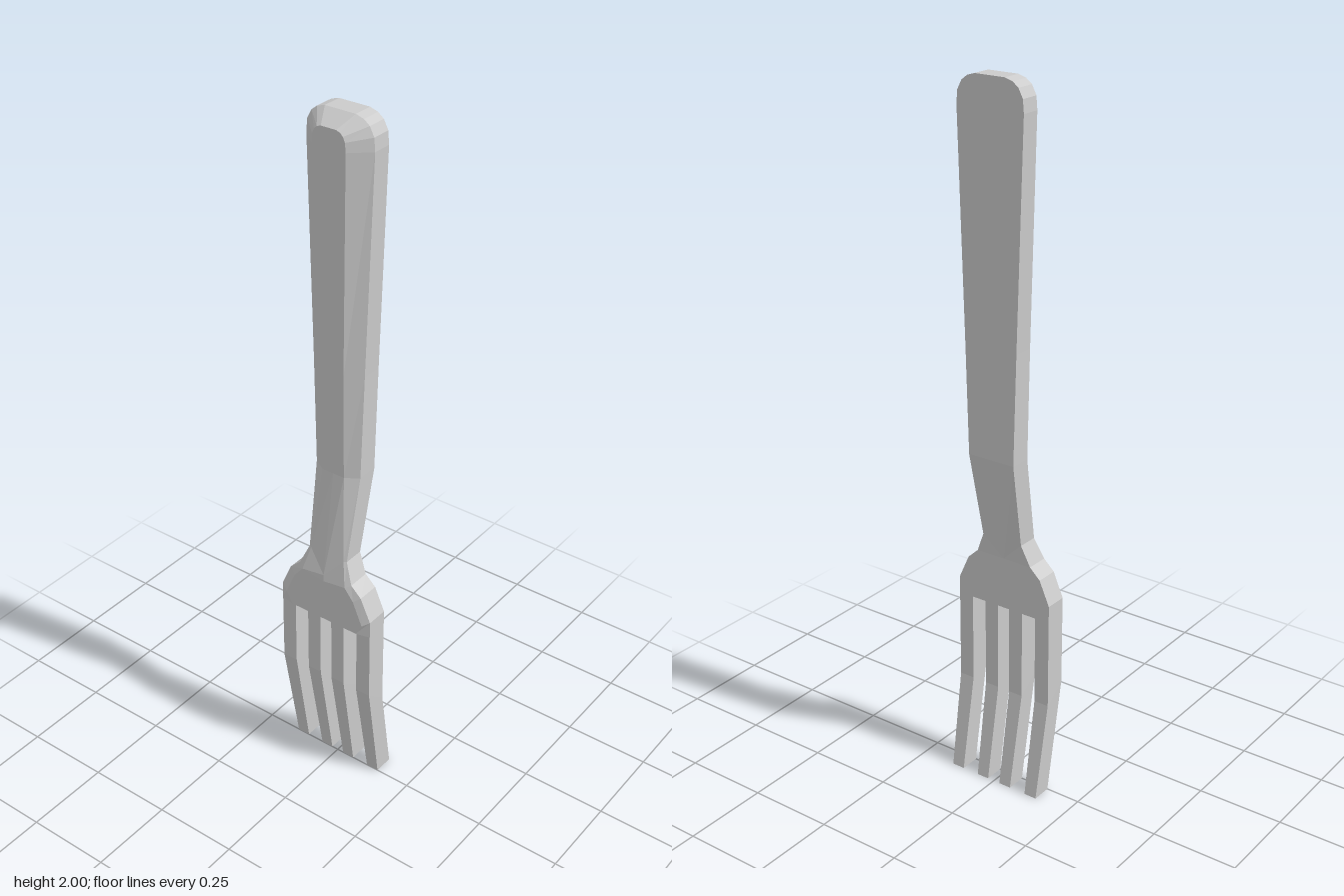
import * as THREE from 'three';

const material = new THREE.MeshStandardMaterial({ color: 0xcccccc, flatShading: true });

// Skins a stack of rings (listed bottom to top) and closes both ends
function loft(name, rings) {
  const pos = [];
  const tri = (...p) => { if (new Set(p).size === 3) p.forEach(v => pos.push(...v)); };
  const quad = (a, b, c, d) => { tri(a, b, c); tri(a, c, d); };
  const n = rings[0].length;
  for (let i = 0; i < rings.length - 1; i++) {
    const lo = rings[i], hi = rings[i + 1];
    for (let j = 0; j < n; j++) {
      const k = (j + 1) % n;
      quad(lo[j], lo[k], hi[k], hi[j]);
    }
  }
  const top = rings[rings.length - 1], low = rings[0];
  for (let j = 0; j < n / 2; j++) {
    const ids = [j, j + 1, n - 1 - j, (n - j) % n];
    quad(...ids.map(k => top[k]));
    quad(...ids.map(k => low[k]).reverse());
  }
  const g = new THREE.BufferGeometry();
  g.setAttribute('position', new THREE.Float32BufferAttribute(pos, 3));
  g.computeVertexNormals();
  const mesh = new THREE.Mesh(g, material);
  mesh.name = name;
  return mesh;
}

// Mirrored bevelled section: outer width w, rim height y and depth zr, back depth zb,
// front face half width f at height yf and depth zf; centre line at yc, front depth zc, back depth zbc
function section({ w, y, zr, zb, f, yf = y, zf, yc = yf, ybc = y, zc = zf, zbc = zb }) {
  return [
    [0, yc, zc], [f, yf, zf], [w, y, zr], [w, y, zb],
    [0, ybc, zbc], [-w, y, zb], [-w, y, zr], [-f, yf, zf],
  ];
}

export function createModel() {
  const fork = new THREE.Group();
  fork.name = 'fork';

  // V-shaped seam shared by neck and head
  const seam = section({ w: 0.063, y: 0.75, zr: 0.043, zb: -0.017, f: 0.055, zf: 0.047, yc: 0.69, ybc: 0.69, zc: 0.064, zbc: -0.01 });

  // Handle with bevelled front and rounded end
  const handle = [
    [0.072, 1.0, 0.035, 1.0, 0.02, -0.003],
    [0.081, 1.31, 0.037, 1.31, 0.025, -0.006],
    [0.101, 1.92, 0.05, 1.92, 0.036, -0.01],
    [0.098, 1.955, 0.048, 1.945, 0.036, -0.01],
    [0.085, 1.98, 0.042, 1.958, 0.036, -0.01],
    [0.068, 1.993, 0.034, 1.966, 0.036, -0.01],
    [0.045, 2.0, 0.022, 1.97, 0.036, -0.01],
  ].map(([w, y, f, yf, zf, zr]) => section({ w, y, f, yf, zf, zr, zb: -0.065 }));
  fork.add(loft('handle', [seam, ...handle]));

  // Flared head
  const head = [
    [0.151, 0.54, 0.11, 0.54, 0.055],
    [0.151, 0.59, 0.13, 0.575, 0.055],
    [0.12, 0.66, 0.1, 0.645, 0.056],
    [0.088, 0.69, 0.072, 0.68, 0.056],
  ].map(([w, y, f, yf, zr]) => section({ w, y, f, yf, zr, zf: 0.065, zb: -0.01, yc: Math.min(yf, 0.67) }));
  fork.add(loft('head', [...head, seam]));

  // Four bent tines, each tapering slightly towards the tip
  const tineRing = (x0, x1, yf, zf, yb, zb) =>
    [[x0, yf, zf], [x1, yf, zf], [x1, yb, zb], [x0, yb, zb]];
  for (const [name, a, b, ta, tb] of [
    ['outerTine', 0.106, 0.151, 0.108, 0.146],
    ['innerTine', 0.019, 0.062, 0.02, 0.057],
  ]) {
    for (const s of [1, -1]) {
      const span = (p, q) => (s > 0 ? [p, q] : [-q, -p]);
      fork.add(loft(name + (s > 0 ? 'Left' : 'Right'), [
        tineRing(...span(ta, tb), 0, 0, 0, -0.058),
        tineRing(...span(a, b), 0.33, 0.055, 0.28, -0.01),
        tineRing(...span(a, b), 0.545, 0.055, 0.545, -0.01),
      ]));
    }
  }
  return fork;
}
